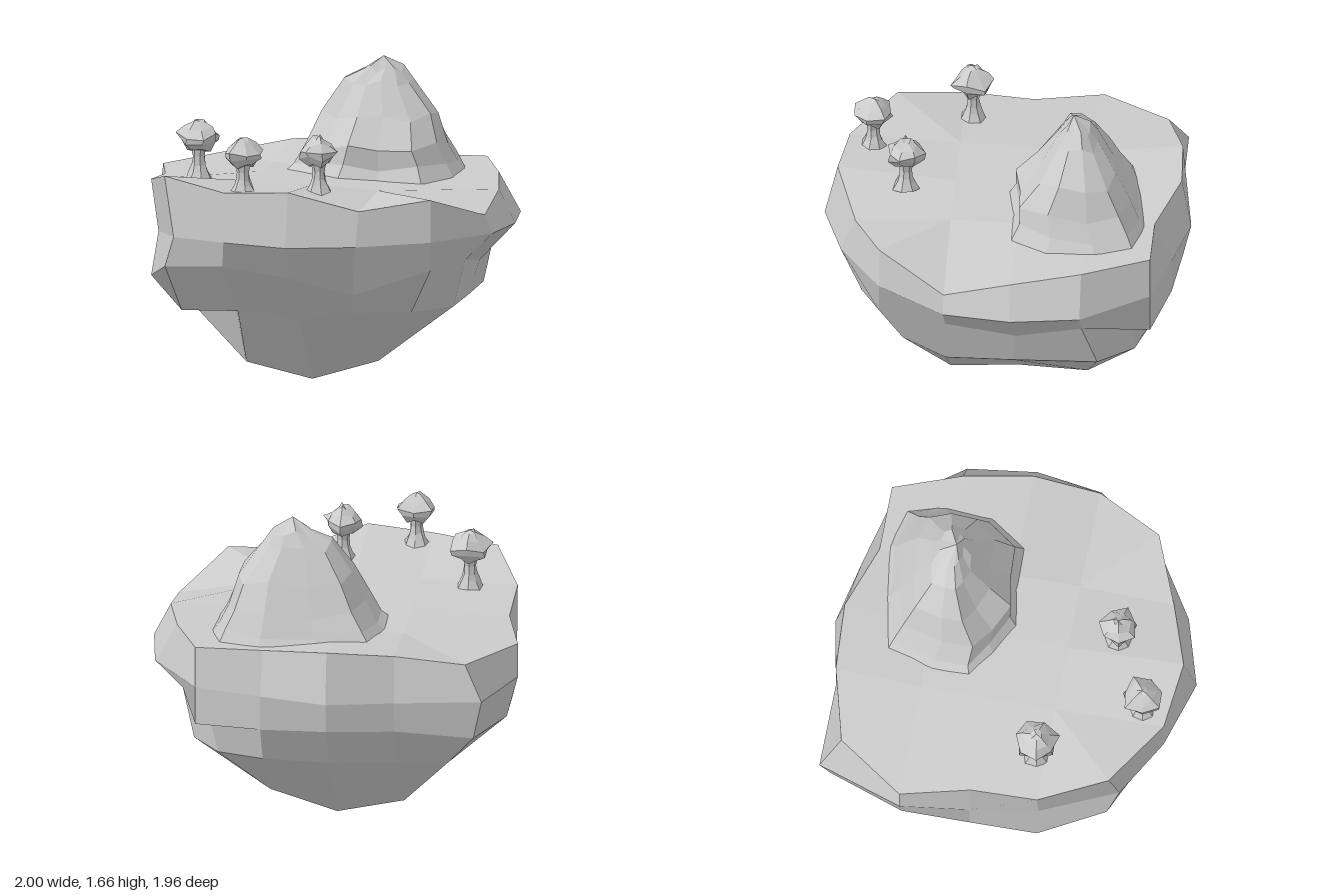
import * as THREE from 'three';

const material = new THREE.MeshStandardMaterial({ color: 0xcccccc });

// Skin closed rings of [x, y, z], listed from top to bottom; a one-point ring is a tip.
// Every quad gets a single normal, so it shades as one flat facet.
function loft(name, rings) {
  const n = Math.max(...rings.map((r) => r.length));
  const at = (r, i) => new THREE.Vector3(...r[r.length === 1 ? 0 : i % n]);
  const pos = [], nor = [];
  for (let k = 0; k < rings.length - 1; k++) {
    for (let i = 0; i < n; i++) {
      const a = at(rings[k], i), b = at(rings[k], i + 1);
      const c = at(rings[k + 1], i), d = at(rings[k + 1], i + 1);
      const normal = b.clone().sub(c).cross(a.clone().sub(d)).normalize();
      const split = a.distanceTo(d) < b.distanceTo(c) ? [[c, d, a], [d, b, a]] : [[c, d, b], [c, b, a]];
      for (const t of split) {
        if (new THREE.Triangle(...t).getArea() < 1e-6) continue;
        for (const v of t) {
          pos.push(...v.toArray());
          nor.push(...normal.toArray());
        }
      }
    }
  }
  const geometry = new THREE.BufferGeometry();
  geometry.setAttribute('position', new THREE.Float32BufferAttribute(pos, 3));
  geometry.setAttribute('normal', new THREE.Float32BufferAttribute(nor, 3));
  const mesh = new THREE.Mesh(geometry, material);
  mesh.name = name;
  return mesh;
}

// Eight-point square patch spread over sixteen points, so each corner is a quad
const patch = (p) => [0, 0, 1, 2, 2, 2, 3, 4, 4, 4, 5, 6, 6, 6, 7, 0].map((i) => p[i]);

// Copy of a ring with one corner pulled inward, leaving an overhang above it
const notch = (ring, index, point) => ring.map((p, i) => (i === index ? point : p));

// Island: each ring runs front, right, back, left, four points per side
function makeIsland() {
  const topPatch = patch([
    [-0.39, 1.07, 0.28], [-0.03, 1.06, 0.28], [0.33, 1.04, 0.28], [0.33, 1.03, -0.08],
    [0.33, 1.04, -0.45], [-0.03, 1.05, -0.45], [-0.39, 1.05, -0.45], [-0.39, 1.06, -0.08],
  ]);
  const rim = [
    [-0.76, 1.14, 0.64], [-0.39, 1.10, 0.87], [-0.03, 1.12, 0.91], [0.33, 1.01, 0.79],
    [0.69, 1.06, 0.64], [0.91, 0.93, 0.28], [0.91, 1.01, -0.08], [0.83, 1.04, -0.45],
    [0.69, 1.06, -0.81], [0.33, 1.06, -0.81], [-0.03, 1.11, -0.93], [-0.39, 1.10, -0.91],
    [-0.76, 1.03, -0.81], [-1, 1.02, -0.45], [-0.91, 1.03, -0.08], [-0.91, 1.06, 0.28],
  ];
  const widest = [
    [-0.70, 0.82, 0.69], [-0.39, 0.83, 0.87], [-0.03, 0.83, 0.98], [0.33, 0.83, 0.87],
    [0.69, 0.83, 0.64], [0.95, 0.83, 0.28], [1, 0.83, -0.08], [0.95, 0.83, -0.45],
    [0.69, 0.83, -0.81], [0.33, 0.83, -0.90], [-0.03, 0.83, -0.98], [-0.39, 0.83, -0.91],
    [-0.86, 0.86, -0.91], [-1, 0.83, -0.45], [-0.95, 0.83, -0.08], [-0.87, 0.78, 0.28],
  ];
  const belly = [
    [-0.76, 0.65, 0.63], [-0.41, 0.69, 0.80], [-0.03, 0.64, 0.82], [0.29, 0.55, 0.76],
    [0.69, 0.68, 0.64], [0.80, 0.68, 0.28], [0.80, 0.62, -0.10], [0.80, 0.68, -0.45],
    [0.69, 0.62, -0.81], [0.33, 0.64, -0.90], [-0.03, 0.66, -0.94], [-0.39, 0.66, -0.89],
    [-0.81, 0.63, -0.86], [-0.94, 0.60, -0.45], [-0.93, 0.58, -0.08], [-0.91, 0.54, 0.28],
  ];
  const lower = [
    [-0.69, 0.40, 0.53], [-0.39, 0.40, 0.50], [-0.03, 0.40, 0.64], [0.26, 0.43, 0.63],
    [0.56, 0.43, 0.52], [0.74, 0.43, 0.28], [0.74, 0.43, -0.08], [0.73, 0.43, -0.53],
    [0.58, 0.43, -0.72], [0.33, 0.43, -0.79], [-0.03, 0.43, -0.81], [-0.39, 0.43, -0.75],
    [-0.66, 0.43, -0.72], [-0.71, 0.42, -0.45], [-0.71, 0.41, -0.08], [-0.69, 0.40, 0.28],
  ];
  const base = patch([
    [-0.39, 0.09, 0.28], [-0.03, 0.01, 0.28], [0.33, 0.12, 0.28], [0.33, 0.14, -0.08],
    [0.33, 0.12, -0.45], [-0.03, 0.01, -0.45], [-0.39, 0.09, -0.45], [-0.39, 0.09, -0.08],
  ]);
  return loft('island', [
    [[-0.03, 1.05, -0.08]], topPatch, rim, widest,
    belly, notch(belly, 8, [0.63, 0.64, -0.69]),
    lower, notch(lower, 0, [-0.43, 0.38, 0.34]),
    base, [[-0.03, 0, -0.08]],
  ]);
}

// Rocky hill: one footprint refitted to a smaller box at each height
function makeHill() {
  const foot = [
    [-0.28, -0.20], [-0.13, -0.10], [0.05, -0.01], [0.25, -0.05], [0.48, -0.06], [0.61, -0.25],
    [0.63, -0.50], [0.57, -0.70], [0.36, -0.76], [0.05, -0.73], [-0.22, -0.66], [-0.28, -0.40],
  ];
  // [y, xMin, xMax, zMin, zMax]
  const levels = [
    [1.59, 0.12, 0.32, -0.46, -0.33], [1.52, 0.01, 0.37, -0.50, -0.28],
    [1.35, -0.10, 0.50, -0.60, -0.17], [1.20, -0.17, 0.55, -0.68, -0.05],
    [1.10, -0.24, 0.60, -0.73, -0.05], [1.02, -0.31, 0.65, -0.78, 0],
  ];
  const rings = levels.map(([y, x0, x1, z0, z1], k) => foot.map(([x, z], i) => [
    THREE.MathUtils.mapLinear(x, -0.28, 0.63, x0, x1),
    y + (k < 5 ? 0.02 * Math.sin(i * 2.3 + k) : 0),
    THREE.MathUtils.mapLinear(z, -0.76, -0.01, z0, z1),
  ]));
  return loft('hill', [[[0.22, 1.66, -0.37]], ...rings]);
}

// Lumpy turned form; profile points are [radius, y]
function lump(name, profile, sides, wobble, seed) {
  const rings = profile.map(([r, y], k) => r === 0 ? [[0, y, 0]]
    : Array.from({ length: sides }, (_, i) => {
      const a = (i / sides) * Math.PI * 2 + seed;
      const w = 1 + wobble * Math.sin(i * 2.7 + k * 1.9 + seed * 5);
      return [r * w * Math.sin(a), y + 0.1 * wobble * Math.cos(i * 3.1 + k + seed), r * w * Math.cos(a)];
    }));
  return loft(name, rings);
}

// Small tree with a flared trunk and a broad, mushroom-like crown
function makeTree([x, y, z], top, radius, seed) {
  const tree = new THREE.Group();
  tree.name = 'tree';
  const h = top - y;
  const crown = [[0, 1], [0.27, 0.97], [0.66, 0.86], [1, 0.73], [0.92, 0.62], [0.55, 0.48], [0, 0.45]];
  const trunk = [[0.042, 0.52], [0.033, 0.36], [0.038, 0.22], [0.05, 0.12], [0.072, -0.02]];
  tree.add(
    lump('crown', crown.map(([r, t]) => [r * radius, t * h]), 7, 0.13, seed),
    lump('trunk', trunk.map(([r, t]) => [r, t * h]), 7, 0.06, seed),
  );
  tree.position.set(x, y, z);
  return tree;
}

export function createModel() {
  const model = new THREE.Group();
  model.name = 'floatingIsland';
  model.add(
    makeIsland(),
    makeHill(),
    makeTree([-0.66, 1.07, 0.23], 1.385, 0.114, 0.4),
    makeTree([-0.31, 1.09, 0.74], 1.38, 0.108, 1.3),
    makeTree([0.06, 1.07, 0.54], 1.37, 0.102, 2.2),
  );
  return model;
}
